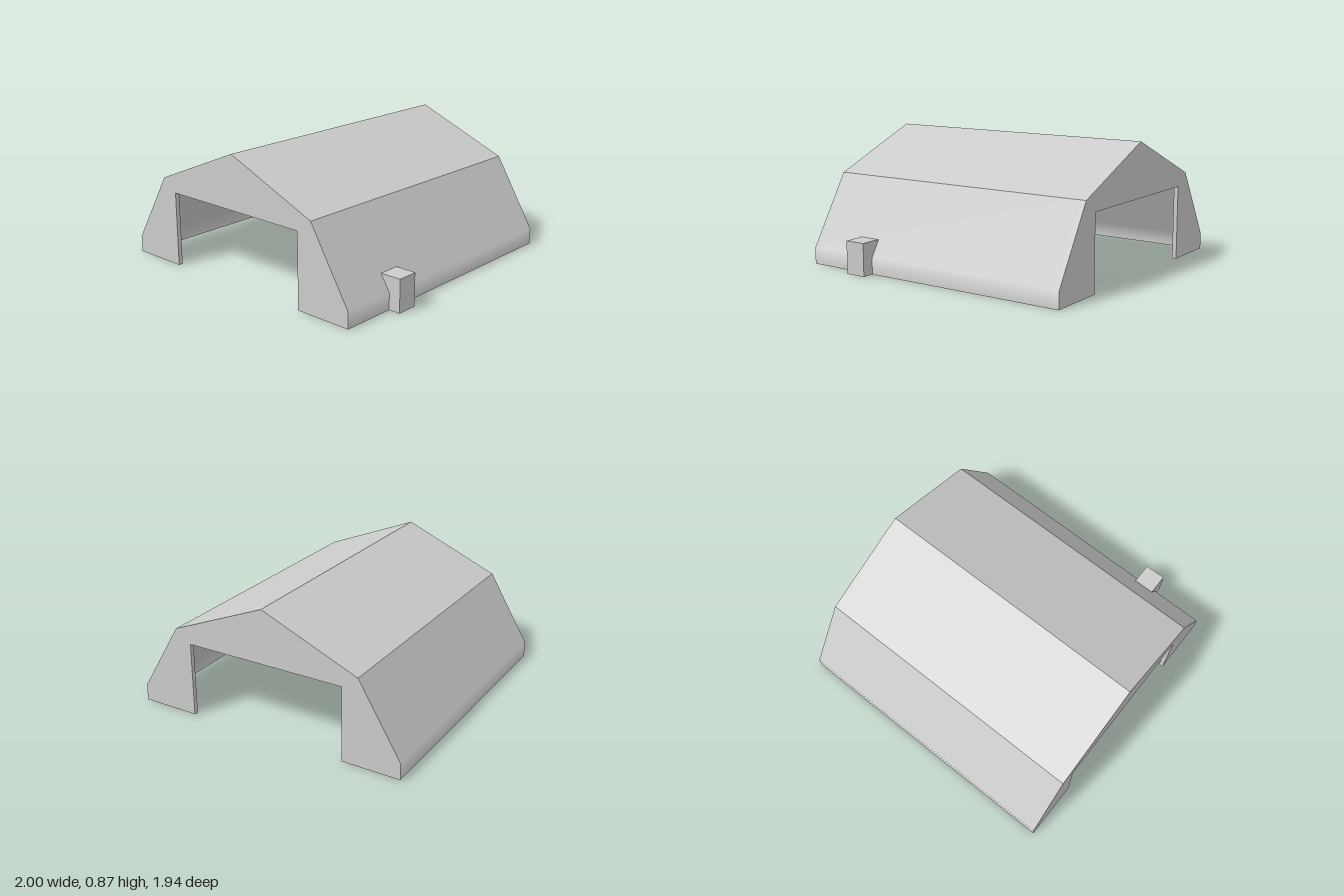
import * as THREE from 'three';

const CX = -0.04;       // centre line of the shelter
const HALF_LEN = 0.97;  // half of its length
const WALL = 0.03;      // wall thickness

// Half profiles from foot to ridge: [distance from centre line, height]
const OUTER = [[0.96, 0], [0.96, 0.11], [0.67, 0.59], [0, 0.87]];
const INNER = [[0.93, 0], [0.93, 0.102], [0.65, 0.566], [0, 0.838]];
const DOOR = [[0.56, 0], [0.56, 0.505]];

// Full outline running from the +x foot over the top to the -x foot
function mirrored(half) {
  const left = half.filter(([x]) => x > 0).reverse().map(([x, y]) => [-x, y]);
  return [...half, ...left];
}

// Arch-shaped slab between an outer and an inner outline
function arch(outer, inner, z0, z1) {
  const points = [...mirrored(outer), ...mirrored(inner).reverse()];
  const shape = new THREE.Shape(points.map(([x, y]) => new THREE.Vector2(x, y)));
  const geometry = new THREE.ExtrudeGeometry(shape, { depth: z1 - z0, bevelEnabled: false });
  geometry.translate(0, 0, z0);

  // Soften the low bend: the upright foot blends into the sloping side
  const pos = geometry.attributes.position;
  const normal = geometry.attributes.normal;
  const slope = new THREE.Vector2(0.48, 0.29).normalize();
  for (let i = 0; i < pos.count; i++) {
    const nx = normal.getX(i);
    if (Math.abs(nx) > 0.99 && Math.abs(pos.getX(i)) > 0.9 && pos.getY(i) > 0.05) {
      normal.setXY(i, Math.sign(nx) * slope.x, Math.sign(nx * pos.getX(i)) * slope.y);
    }
  }
  geometry.translate(CX, 0, 0);
  return geometry;
}

export function createModel() {
  const group = new THREE.Group();
  const material = new THREE.MeshStandardMaterial({ color: 0xcccccc });
  const add = (name, geometry) => {
    const mesh = new THREE.Mesh(geometry, material);
    mesh.name = name;
    group.add(mesh);
    return mesh;
  };

  // Hollow roof and sides
  const inside = HALF_LEN - WALL;
  add('roofShell', arch(OUTER, INNER, -inside, inside));

  // End walls with wide door openings
  add('frontWall', arch(OUTER, DOOR, inside, HALF_LEN));
  add('backWall', arch(OUTER, DOOR, -HALF_LEN, -inside));

  // Small box standing against the left side
  add('sideBox', new THREE.BoxGeometry(0.145, 0.22, 0.145)).position.set(0.9275, 0.11, 0.527);

  return group;
}
